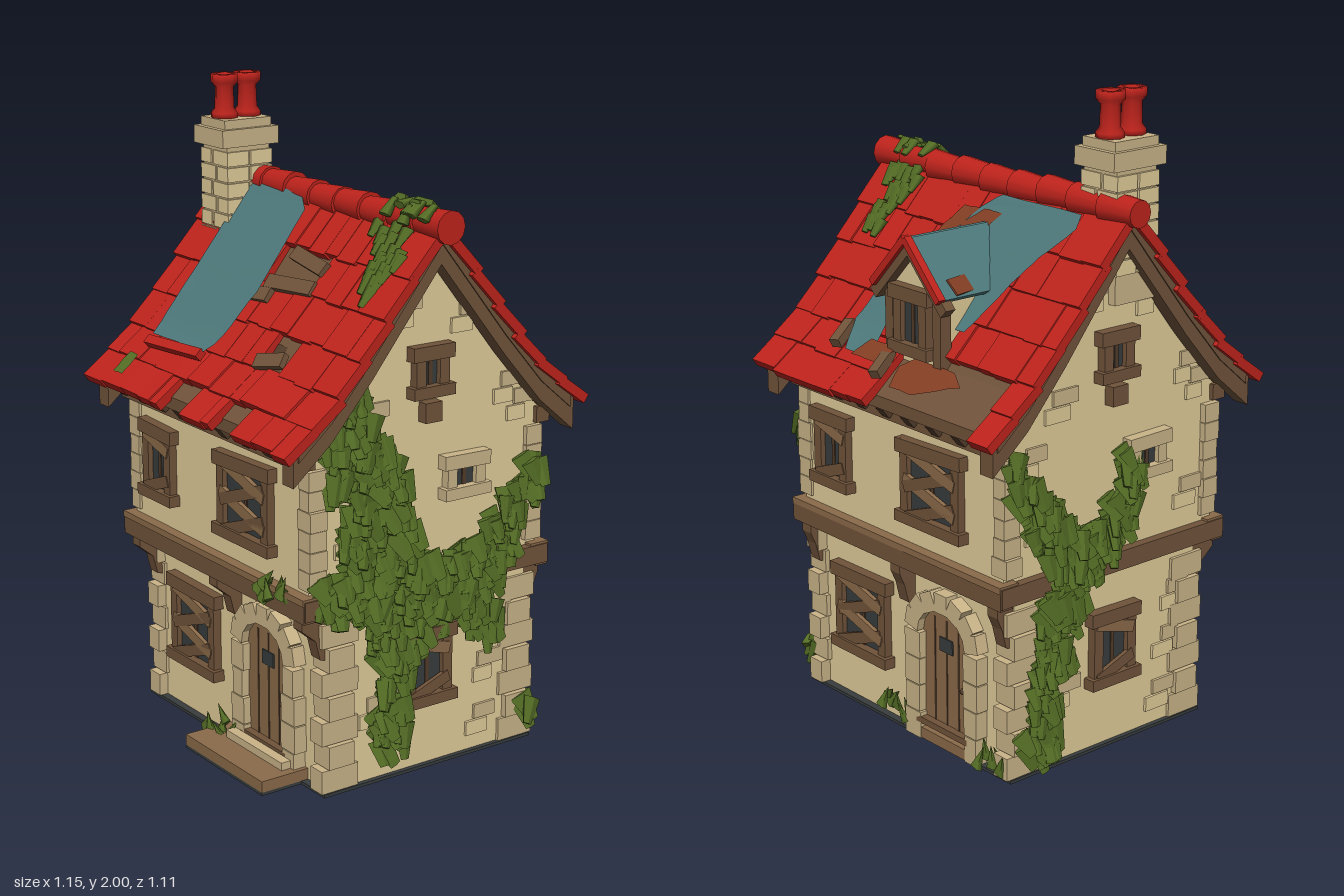
import * as THREE from 'three';
import { mergeGeometries } from 'three/addons/utils/BufferGeometryUtils.js';

const mat = (name, color, side = THREE.FrontSide) => {
  const m = new THREE.MeshStandardMaterial({ color, side });
  m.name = name;
  return m;
};
const M = {
  red: mat('red tile', 0xbe231c), cream: mat('cream plaster', 0xe2cd9a), stone: mat('pale stone', 0xcab488),
  wood: mat('weathered wood', 0x70533a), light: mat('light wood', 0x8a6a49), dark: mat('dark wood', 0x523c2a),
  glass: mat('dark glass', 0x383c3c), ivy: mat('ivy green', 0x546d25),
  blue: mat('blue tarp', 0x4d787a, THREE.DoubleSide), rust: mat('rust', 0x843f24, THREE.DoubleSide),
};

let seed = 7;
const rnd = (a = 0, b = 1) => {
  seed = (seed * 16807) % 2147483647;
  return a + (b - a) * (seed / 2147483647);
};

function add(parent, name, geo, material, x = 0, y = 0, z = 0, rx = 0, ry = 0, rz = 0) {
  const m = new THREE.Mesh(geo, material);
  m.name = name;
  m.position.set(x, y, z);
  m.rotation.set(rx, ry, rz);
  parent.add(m);
  return m;
}
const box = (p, name, material, w, h, d, ...at) => add(p, name, new THREE.BoxGeometry(w, h, d), material, ...at);
function group(parent, name, x = 0, y = 0, z = 0, ry = 0) {
  const g = new THREE.Group();
  g.name = name;
  g.position.set(x, y, z);
  g.rotation.y = ry;
  parent.add(g);
  return g;
}
// Extrude a z-y outline along x, from x0 to x1
function extrudeX(points, x0, x1) {
  const shape = new THREE.Shape(points.map(([z, y]) => new THREE.Vector2(z, y)));
  return new THREE.ExtrudeGeometry(shape, { depth: x1 - x0, bevelEnabled: false }).rotateY(-Math.PI / 2).translate(x1, 0, 0);
}

// Roof slope: height at distance z from the ridge
const SLOPE = [[0, 1.68], [0.12, 1.53], [0.24, 1.38], [0.38, 1.22], [0.545, 1.08]];
function roofY(z) {
  const a = Math.abs(z);
  let i = 0;
  while (i < SLOPE.length - 2 && a > SLOPE[i + 1][0]) i++;
  const [z0, y0] = SLOPE[i], [z1, y1] = SLOPE[i + 1];
  return y0 + (y1 - y0) * (a - z0) / (z1 - z0);
}
const arch = (reach, drop) => [-reach, -0.38, -0.24, -0.12, 0, 0.12, 0.24, 0.38, reach].map(z => [z, roofY(z) - drop]);
const band = (reach, top, bottom) => [...arch(reach, top), ...arch(reach, bottom).reverse()];

// Sheet lying on the slope, from rows of [z, x0, x1]
function sheet(parent, name, material, rows, lift) {
  const pos = [], idx = [], n = 4;
  for (let r = 0; r < rows.length - 1; r++) {
    for (let k = 0; k < n + (r === rows.length - 2 ? 1 : 0); k++) {
      const [z, a, b] = rows[r].map((v, j) => v + (rows[r + 1][j] - v) * k / n);
      for (let c = 0; c <= 4; c++) pos.push(a + (b - a) * c / 4, roofY(z) + lift + rnd(-0.002, 0.002), z);
    }
  }
  for (let r = 0; r < pos.length / 15 - 1; r++) {
    for (let c = 0; c < 4; c++) {
      const i = r * 5 + c;
      idx.push(i, i + 5, i + 1, i + 1, i + 5, i + 6);
    }
  }
  const g = new THREE.BufferGeometry();
  g.setAttribute('position', new THREE.Float32BufferAttribute(pos, 3));
  g.setIndex(idx);
  g.computeVertexNormals();
  add(parent, name, g, material);
}

// One slope of uneven tiles; holes are [x0, x1, z0, z1]
function tiles(parent, holes) {
  const step = 0.085;
  for (let k = 0; k < 6; k++) {
    const z0 = 0.03 + k * step, z1 = z0 + step, zm = (z0 + z1) / 2;
    const dy = roofY(z0) - roofY(z1), len = Math.hypot(step, dy) * 1.12;
    const gaps = holes.filter(h => zm > h[2] && zm < h[3]);
    for (let x = -0.555; x < 0.55;) {
      let w = rnd(0.06, 0.12);
      if (x + w > 0.51) w = 0.555 - x;
      for (const e of gaps.flatMap(h => [h[0], h[1]])) if (e > x + 0.001 && e < x + w) w = e - x;
      const c = x + w / 2;
      if (!gaps.some(h => c > h[0] && c < h[1])) {
        box(parent, 'roofTile', M.red, w + 0.004, 0.03, len, c, roofY(zm) - 0.005 + rnd(-0.004, 0.005),
          zm - rnd(0, 0.01), Math.atan2(dy, step) - 0.08, 0, rnd(-0.02, 0.02));
      }
      x += w;
    }
  }
}

// Window facing +z with frame, sill and loose boards
function windowUnit(parent, name, x, y, z, w, h, boards, frame = M.wood) {
  const g = group(parent, name, x, y, z), t = 0.035;
  box(g, 'pane', M.glass, w - t, h - t, 0.01, 0, 0, 0.004);
  for (const s of [-1, 1]) box(g, 'jamb', frame, t, h, 0.035, s * (w - t) / 2, 0, 0.008);
  box(g, 'lintel', frame, w + 0.03, t + 0.008, 0.045, 0, h / 2 - t / 2, 0.01, 0, 0, rnd(-0.04, 0.04));
  box(g, 'sill', frame, w + 0.03, t, 0.05, 0, -h / 2 + t / 2, 0.012);
  box(g, 'mullion', M.dark, 0.014, h - t, 0.012, 0, 0, 0.006);
  for (let i = 0; i < boards; i++) {
    box(g, 'board', i % 2 ? M.wood : M.light, w * 0.9, 0.036, 0.014, 0, h * (0.28 - 0.56 * i / Math.max(1, boards - 1)), 0.022, 0, 0, i % 2 ? 0.35 : -0.28);
  }
}

// Long wall with its door, windows and beams, facing +z
function facade(parent, low, up) {
  windowUnit(parent, 'upperSmallWindow', -0.31, 0.84, up, 0.16, 0.24, 2);
  windowUnit(parent, 'upperWideWindow', 0.17, 0.84, up, 0.27, 0.26, 4);
  windowUnit(parent, 'lowerWindow', -0.225, 0.31, low, 0.25, 0.28, 4);
  box(parent, 'floorBeam', M.wood, 1.0, 0.055, 0.045, 0, 0.59, up + 0.01);
  box(parent, 'beamLedge', M.light, 1.0, 0.02, 0.07, 0, 0.627, up);
  box(parent, 'eaveBeam', M.wood, 0.98, 0.05, 0.05, 0, 1.04, up + 0.01);
  for (let x = -0.46; x < 0.5; x += 0.115) box(parent, 'rafterEnd', M.dark, 0.035, 0.04, 0.1, x, 1.075, up + 0.02, 0.7);
  const curve = [[low - 0.01, 0.42], [low + 0.025, 0.43], [low + 0.04, 0.49], [up + 0.02, 0.53], [up + 0.02, 0.575], [low - 0.01, 0.575]];
  for (const x of [-0.45, 0, 0.45]) add(parent, 'bracket', extrudeX(curve, x - 0.022, x + 0.022), M.wood);
  for (const x of [-0.465, 0.465]) {
    for (let i = 0; i < 6; i++) box(parent, 'upperQuoin', M.stone, rnd(0.04, 0.07), 0.058, 0.06, x, 0.68 + i * 0.06, up - 0.022);
  }
  // Arched door
  const s = new THREE.Shape();
  s.moveTo(0.11, 0).lineTo(0.11, 0.3).absellipse(0, 0.3, 0.11, 0.08, 0, Math.PI, false, 0).lineTo(-0.11, 0);
  const d = group(parent, 'door', 0.19, 0.07, low);
  add(d, 'doorLeaf', new THREE.ExtrudeGeometry(s, { depth: 0.015, bevelEnabled: false }), M.light);
  for (const x of [-0.055, 0, 0.055]) box(d, 'doorGroove', M.dark, 0.006, 0.34, 0.006, x, 0.18, 0.014);
  box(d, 'doorGlass', M.glass, 0.06, 0.045, 0.006, 0, 0.27, 0.016);
  add(d, 'doorKnob', new THREE.SphereGeometry(0.01, 8, 6), M.dark, 0.08, 0.15, 0.02);
  for (const x of [-0.135, 0.135]) {
    for (let i = 0; i < 4; i++) box(d, 'doorStone', M.stone, rnd(0.05, 0.075), 0.085, 0.06, x, -0.02 + i * 0.088, 0.01);
  }
  for (let i = 0; i < 7; i++) {
    const a = Math.PI * (i + 0.5) / 7;
    box(d, 'archStone', M.stone, 0.058, 0.062, 0.06, Math.cos(a) * 0.138, 0.3 + Math.sin(a) * 0.11, 0.01, 0, 0, a - Math.PI / 2);
  }
  box(d, 'threshold', M.wood, 0.24, 0.02, 0.05, 0, 0, 0.015);
}

// Flattened leaves scattered along [z, y, width] stems on a gable wall
function ivy(parent, name, stems, count) {
  const leaves = [];
  for (const stem of stems) {
    for (let s = 0; s < stem.length - 1; s++) {
      const [z0, y0, w0] = stem[s], [z1, y1, w1] = stem[s + 1];
      const l = Math.hypot(z1 - z0, y1 - y0), n = Math.ceil(l * (w0 + w1) * count) + 2;
      for (let i = 0; i < n; i++) {
        const t = rnd(), off = rnd(-0.5, 0.5) * (w0 + (w1 - w0) * t), k = rnd(0.8, 1.25);
        const z = z0 + (z1 - z0) * t + off * (y1 - y0) / l, y = y0 + (y1 - y0) * t - off * (z1 - z0) / l;
        leaves.push(new THREE.CylinderGeometry(0.034 * k, 0.016 * k, 0.075 * k, 5).scale(1, 1, 0.42).rotateX(rnd(-0.5, -0.15))
          .rotateZ(rnd(-0.5, 0.5)).rotateY(Math.PI / 2).translate(rnd(0.492, 0.522), Math.max(0.045, y), z));
      }
    }
  }
  const g = mergeGeometries(leaves).toNonIndexed();
  g.computeVertexNormals();
  return add(parent, name, g, M.ivy);
}

export function createModel() {
  const house = new THREE.Group();
  house.name = 'cottage';

  // Walls: narrow ground floor, wider gabled upper floor
  box(house, 'base', M.glass, 0.98, 0.01, 0.78, 0, 0.005, -0.015);
  box(house, 'stepBase', M.glass, 0.42, 0.01, 0.16, 0.16, 0.005, 0.435);
  box(house, 'lowerWalls', M.cream, 0.95, 0.59, 0.73, 0, 0.305, -0.015);
  add(house, 'upperWalls', extrudeX([[-0.42, 0.57], ...arch(0.42, 0.05), [0.42, 0.57]], -0.475, 0.475), M.cream);
  facade(group(house, 'frontFacade'), 0.352, 0.42);
  facade(group(house, 'backFacade', 0, 0, 0, Math.PI), 0.382, 0.42);
  box(house, 'frontStep', M.light, 0.42, 0.035, 0.19, 0.16, 0.0275, 0.42);
  box(house, 'upperStep', M.stone, 0.3, 0.025, 0.08, 0.19, 0.057, 0.385);
  box(house, 'backStep', M.light, 0.28, 0.035, 0.06, -0.19, 0.0275, -0.39);
  for (const x of [-0.455, 0.455]) {
    for (const z of [0.315, -0.35]) {
      for (let i = 0; i < 7; i++) box(house, 'quoin', M.stone, i % 2 ? 0.08 : 0.06, 0.072, i % 2 ? 0.09 : 0.13, x, 0.046 + i * 0.076, z);
    }
  }

  // Gable ends: beams, windows and exposed stones
  for (const s of [1, -1]) {
    const g = group(house, s > 0 ? 'leftGable' : 'rightGable', 0, 0, 0, s * Math.PI / 2);
    windowUnit(g, 'atticWindow', 0, 1.24, 0.478, 0.12, 0.15, 0);
    windowUnit(g, 'middleWindow', 0.13, 0.905, 0.478, 0.14, 0.13, 0, M.stone);
    windowUnit(g, 'groundWindow', 0, 0.33, 0.478, 0.17, 0.24, 2);
    box(g, 'gableBeam', M.wood, 0.9, 0.06, 0.04, 0, 0.6, 0.485);
    box(g, 'keyBlock', M.wood, 0.06, 0.06, 0.04, 0, 1.12, 0.49);
    for (const [x, y] of [[-0.3, 0.75], [-0.33, 0.95], [0.3, 0.72], [0.33, 1.06], [0.28, 1.12], [0.12, 1.36], [-0.1, 1.4], [0.22, 0.25], [0.25, 0.4], [-0.2, 0.2], [0.2, 0.08], [-0.22, 1.1]]) {
      for (const o of [0, 1]) box(g, 'wallStone', o ? M.stone : M.cream, rnd(0.06, 0.1), 0.045, 0.02, x + o * 0.03, y + o * 0.05, 0.474);
    }
    add(house, 'bargeBoard', extrudeX(band(0.51, 0.02, 0.12), s > 0 ? 0.48 : -0.535, s > 0 ? 0.535 : -0.48), M.wood);
  }

  // Roof boards under the tiles
  add(house, 'roofBoards', extrudeX(band(0.495, 0.022, 0.06), -0.54, 0.54), M.wood);
  const front = group(house, 'frontRoof'), back = group(house, 'backRoof', 0, 0, 0, Math.PI);
  tiles(front, [[-0.13, 0, 0.45, 0.6], [0.15, 0.27, 0.45, 0.6], [0.15, 0.27, 0.28, 0.38], [-0.06, 0.18, 0.12, 0.2]]);
  tiles(back, [[-0.01, 0.47, 0.37, 0.6], [-0.26, -0.08, 0.19, 0.3]]);
  sheet(front, 'frontTarp', M.blue, [[0.04, -0.36, -0.1], [0.07, -0.38, -0.04], [0.25, -0.385, -0.03], [0.36, -0.38, -0.05], [0.41, -0.37, -0.08]], 0.042);
  sheet(front, 'mossPatch', M.ivy, [[0.47, -0.41, -0.36], [0.53, -0.41, -0.36]], 0.035);
  sheet(front, 'holeDepth', M.dark, [[0.3, 0.155, 0.2], [0.36, 0.155, 0.24]], -0.018);
  sheet(back, 'backTarp', M.blue, [[0.06, 0.06, 0.4], [0.09, 0, 0.41], [0.16, -0.07, 0.33], [0.22, -0.1, 0.28], [0.34, -0.1, 0.21]], 0.042);
  sheet(back, 'sideTarp', M.blue, [[0.31, -0.23, -0.11], [0.38, -0.25, -0.11], [0.46, -0.2, -0.08]], 0.042);
  sheet(back, 'eaveRust', M.rust, [[0.4, 0.06, 0.24], [0.43, 0.02, 0.3], [0.485, 0.04, 0.14]], 0.004);
  sheet(back, 'tarpRust', M.rust, [[0.1, -0.07, 0.0], [0.16, -0.12, -0.06], [0.22, -0.15, -0.09], [0.3, -0.13, -0.09]], 0.046);
  sheet(back, 'tarpEdgeRust', M.rust, [[0.1, 0.02, 0.1], [0.14, -0.04, 0.06], [0.18, -0.03, 0.03]], 0.048);
  sheet(back, 'sideRust', M.rust, [[0.42, -0.12, 0.0], [0.47, -0.16, -0.03]], 0.046);
  for (const [x, z, w, r] of [[-0.05, 0.24, 0.13, 0.1], [0.1, 0.15, 0.18, -0.15], [0.08, 0.205, 0.22, 0.08], [0.2, 0.36, 0.12, 0.25]]) {
    box(front, 'looseBoard', M.wood, w, 0.02, 0.045, x, roofY(z) + 0.018, z, 0.88, r, 0);
  }
  box(front, 'tarpBatten', M.red, 0.28, 0.025, 0.03, -0.23, roofY(0.42) + 0.035, 0.42, 0.75, 0.06, 0);
  for (let i = 0; i < 9; i++) {
    const ridge = new THREE.CylinderGeometry(0.041, 0.05, 0.134, 12);
    add(house, 'ridgeTile', ridge, M.red, -0.51 + i * 0.1275, 1.667 + rnd(-0.004, 0.006), 0, 0, 0, Math.PI / 2);
  }

  // Dormer on the back slope
  const dormer = group(back, 'dormer', 0.055, 0, 0);
  const face = new THREE.Shape([[-0.115, 1.14], [0.115, 1.14], [0.115, 1.41], [0, 1.53], [-0.115, 1.41]].map(p => new THREE.Vector2(...p)));
  add(dormer, 'dormerWalls', new THREE.ExtrudeGeometry(face, { depth: 0.28, bevelEnabled: false }), M.cream, 0, 0, 0.11);
  windowUnit(dormer, 'dormerWindow', 0, 1.32, 0.392, 0.15, 0.2, 0);
  for (const s of [-1, 1]) {
    box(dormer, 'dormerRoof', M.blue, 0.218, 0.016, 0.31, s * 0.077, 1.49, 0.265, 0, 0, -s * 0.8);
    box(dormer, 'dormerRust', M.rust, 0.055, 0.006, 0.13, s * 0.13, 1.445, 0.31, 0, 0.2, -s * 0.8);
    box(dormer, 'dormerTrim', M.red, 0.222, 0.022, 0.025, s * 0.077, 1.492, 0.425, 0, 0, -s * 0.8);
    box(dormer, 'dormerRafter', M.wood, 0.23, 0.035, 0.035, s * 0.082, 1.46, 0.405, 0, 0, -s * 0.8);
    box(dormer, 'dormerPost', M.wood, 0.035, 0.26, 0.04, s * 0.11, 1.27, 0.385);
  }
  for (const [x, z] of [[-0.02, 0.46], [-0.26, 0.42]]) box(back, 'brokenRafter', M.wood, 0.035, 0.03, 0.1, x, roofY(z) + 0.035, z, 0.5, 0.3, 0);

  // Chimney with two pots
  const chimney = group(house, 'chimney', -0.435, 0, 0.055);
  box(chimney, 'stack', M.stone, 0.135, 0.42, 0.155, 0, 1.6, 0);
  for (let i = 0; i < 6; i++) {
    for (const sx of [-1, 1]) for (const sz of [-1, 1]) {
      const w = 0.07 + (i % 2 ? sx : -sx) * 0.012;
      box(chimney, 'chimneyStone', M.cream, w, 0.044, 0.078, sx * (0.076 - w / 2), 1.5 + i * 0.049, sz * 0.043);
    }
  }
  box(chimney, 'chimneyCap', M.stone, 0.165, 0.055, 0.205, 0, 1.81, 0);
  box(chimney, 'chimneyCapTop', M.stone, 0.135, 0.03, 0.17, 0, 1.85, 0);
  const pot = [[0, 0], [0.042, 0], [0.042, 0.02], [0.031, 0.035], [0.029, 0.1], [0.043, 0.115], [0.043, 0.14], [0.024, 0.14], [0.02, 0.08], [0, 0.08]];
  for (const z of [-0.042, 0.042]) {
    add(chimney, 'chimneyPot', new THREE.LatheGeometry(pot.map(p => new THREE.Vector2(...p)), 8), M.red, 0, 1.86, z);
  }

  // Ivy on both gables, over the ridge and by the door
  ivy(house, 'leftIvy', [
    [[0.3, 1.2, 0.1], [0.29, 1.02, 0.22], [0.2, 0.85, 0.26], [0.17, 0.62, 0.24], [0.1, 0.5, 0.26], [0.13, 0.36, 0.1], [0.14, 0.08, 0.12]],
    [[0.4, 0.62, 0.08], [0.1, 0.57, 0.18], [-0.15, 0.55, 0.22], [-0.27, 0.7, 0.12], [-0.4, 0.9, 0.06]],
    [[-0.15, 0.5, 0.15], [-0.24, 0.38, 0.07]], [[-0.38, 0.06, 0.02], [-0.38, 0.11, 0.01]],
  ], 650);
  ivy(house, 'rightIvy', [
    [[0.42, 0.98, 0.06], [0.3, 0.8, 0.12], [0.18, 0.65, 0.16], [0.24, 0.4, 0.14], [0.32, 0.05, 0.14]],
    [[0.18, 0.62, 0.14], [0.0, 0.7, 0.12], [-0.08, 0.95, 0.07]],
  ], 600).rotation.y = Math.PI;
  const creeper = [];
  for (let i = 0; i < 64; i++) {
    const z = rnd(-0.19, 0.19), a = Math.abs(z), x = a < 0.06 ? rnd(-0.13, 0.1) : rnd(-1, 1) * (0.12 - 0.5 * a);
    const y = a < 0.045 ? 1.667 + Math.sqrt(0.0025 - z * z) : roofY(z) + 0.025;
    creeper.push(new THREE.CylinderGeometry(0.028, 0.014, 0.06, 5).scale(1, 1, 0.45).rotateX(a < 0.045 ? z * 24 + 1.57 : z < 0 ? 0.7 : -0.7)
      .translate(0.42 + x, y, z));
  }
  add(house, 'ridgeIvy', mergeGeometries(creeper), M.ivy);
  for (const [x, y, z, n] of [[0.36, 0.62, 0.46, 9], [-0.03, 0.06, 0.41, 6], [0.02, 0.06, -0.41, 6], [-0.44, 0.05, -0.41, 5]]) {
    for (let i = 0; i < n; i++) {
      add(house, 'sprig', new THREE.ConeGeometry(0.025, 0.07, 5).scale(1, 1, 0.5), M.ivy, x + rnd(-0.07, 0.07), y + rnd(-0.01, 0.04), z + rnd(-0.02, 0.02), rnd(-0.4, 0.4), 0, rnd(-0.8, 0.8));
    }
  }
  return house;
}
